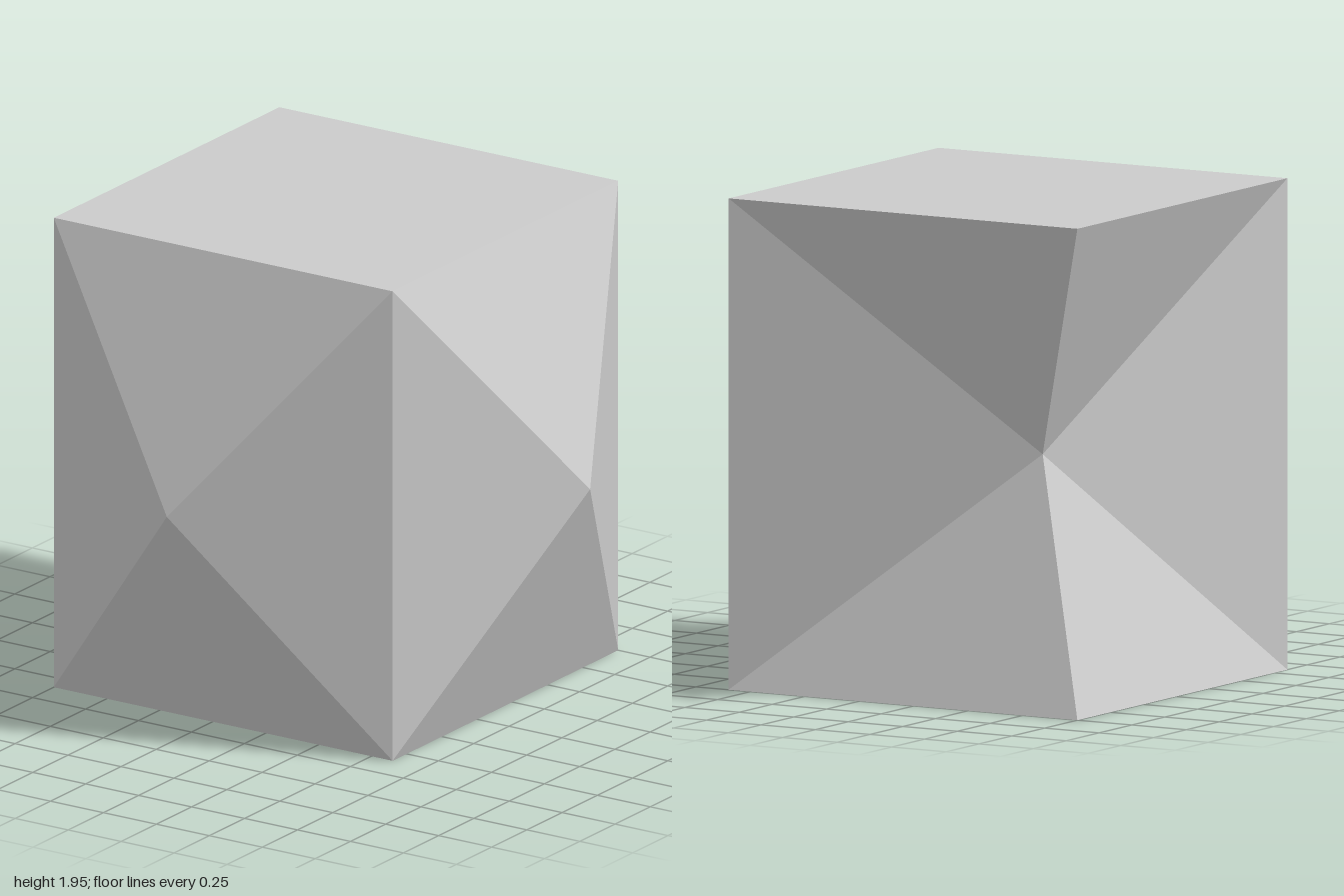
import * as THREE from 'three';

const H = 1.952; // height
const LO = -1, HI = 0.6; // block extents in x and z

// Triangle fan from a loop of corners (counter-clockwise from outside) to an apex
function fan(name, apex, loop) {
  const points = [];
  loop.forEach((p, i) => points.push(...p, ...loop[(i + 1) % loop.length], ...apex));
  const geometry = new THREE.BufferGeometry();
  geometry.setAttribute('position', new THREE.Float32BufferAttribute(points, 3));
  geometry.computeVertexNormals();
  const material = new THREE.MeshStandardMaterial({ color: 0xcccccc, flatShading: true });
  const mesh = new THREE.Mesh(geometry, material);
  mesh.name = name;
  return mesh;
}

export function createModel() {
  const group = new THREE.Group();
  group.name = 'facetedBlock';

  // Footprint corners, counter-clockwise from above
  const base = [[LO, HI], [HI, HI], [HI, LO], [LO, LO]];
  const bottom = base.map(([x, z]) => [x, 0, z]);
  const top = base.map(([x, z]) => [x, H, z]);
  const mid = (LO + HI) / 2;

  // Flat caps
  group.add(fan('topFace', [mid, H, mid], top));
  group.add(fan('bottomFace', [mid, 0, mid], [...bottom].reverse()));

  // Raised pyramids on the front and the +x side
  group.add(fan('frontPyramid', [mid, H / 2, 1], [bottom[0], bottom[1], top[1], top[0]]));
  group.add(fan('sidePyramid', [1, H / 2, mid], [bottom[1], bottom[2], top[2], top[1]]));

  // Notch cut into the back and the -x side, meeting at one inner point
  group.add(fan('cornerNotch', [-0.6, H / 2, -0.6],
    [bottom[2], bottom[3], bottom[0], top[0], top[3], top[2]]));

  return group;
}
